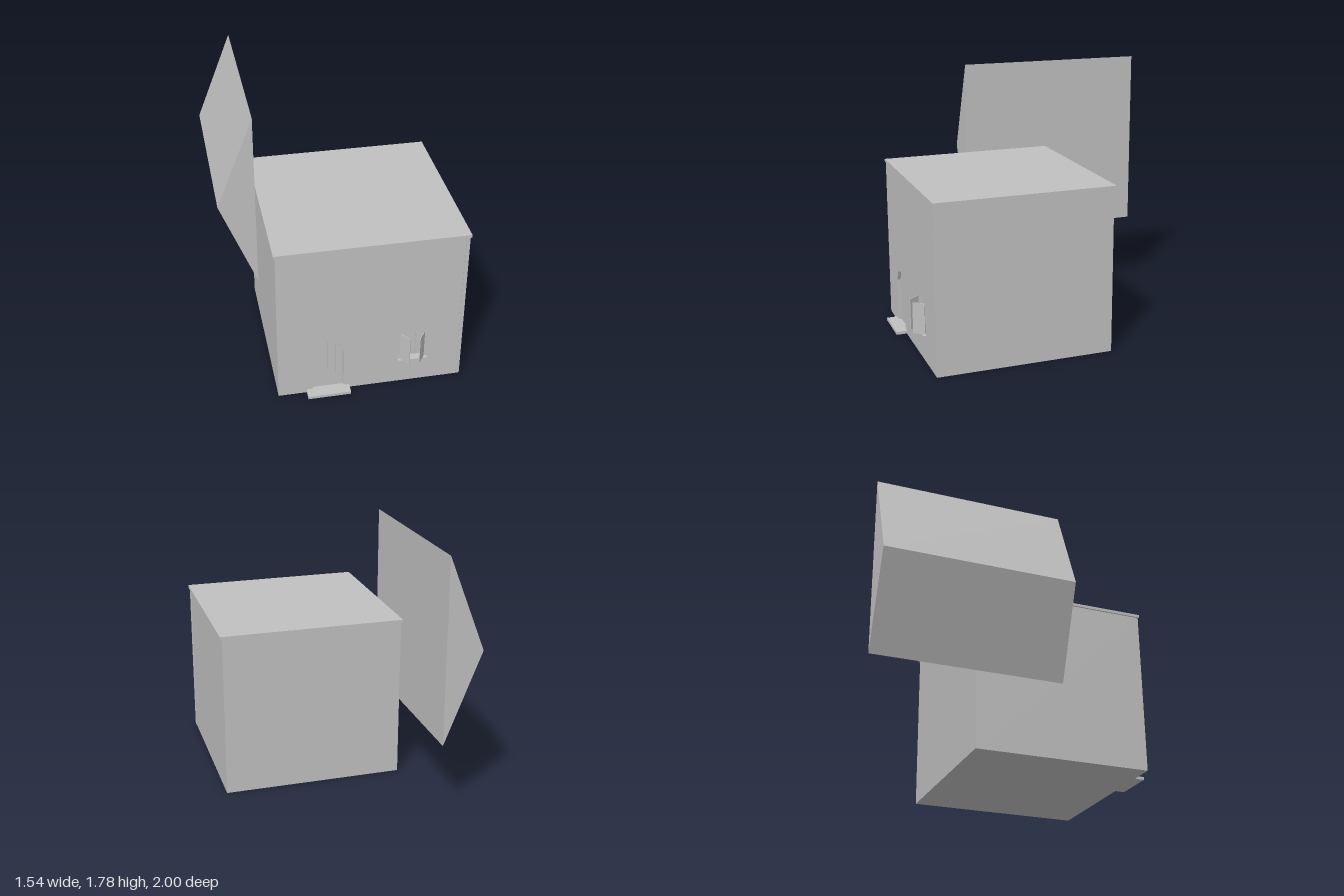
import * as THREE from 'three';

export function createModel() {
  const model = new THREE.Group();
  const grey = new THREE.MeshStandardMaterial({ color: 0xc0c0c0 });

  const add = (name, geometry) => {
    const mesh = new THREE.Mesh(geometry, grey);
    mesh.name = name;
    model.add(mesh);
    return mesh;
  };
  // box given by its lower and upper limits on each axis
  const box = (name, x0, x1, y0, y1, z0, z1) => {
    const mesh = add(name, new THREE.BoxGeometry(x1 - x0, y1 - y0, z1 - z0));
    mesh.position.set((x0 + x1) / 2, (y0 + y1) / 2, (z0 + z1) / 2);
    return mesh;
  };
  const points = (list) => list.map(([x, y]) => new THREE.Vector2(x, y));
  const extrude = (shape, depth, z) =>
    new THREE.ExtrudeGeometry(shape, { depth, bevelEnabled: false }).translate(0, 0, z);

  // house body, whose front face lies behind the pierced front wall
  box('houseBody', -0.49, 0.755, 0, 1.125, -0.28, 0.895);
  box('flatRoof', -0.5, 0.77, 1.125, 1.145, -0.29, 0.93);

  // front wall with arched doorway and window opening
  const wall = new THREE.Shape(points([[-0.49, 0], [0.755, 0], [0.755, 1.125], [-0.49, 1.125]]));
  const arch = points([
    [-0.255, 0.02], [-0.255, 0.32], [-0.222, 0.39], [-0.15, 0.416],
    [-0.083, 0.39], [-0.05, 0.32], [-0.05, 0.02],
  ]);
  wall.holes.push(new THREE.Path(arch));
  wall.holes.push(new THREE.Path(points([[0.335, 0.195], [0.335, 0.408], [0.5, 0.408], [0.5, 0.195]])));
  add('frontWall', extrude(wall, 0.03, 0.895));

  // door planks with narrow gaps, shaped to the arch
  const archTop = (x) => {
    for (let i = 1; i < 5; i++) {
      const a = arch[i], b = arch[i + 1];
      if (x <= b.x) return a.y + ((b.y - a.y) * (x - a.x)) / (b.x - a.x);
    }
    return 0.32;
  };
  const planks = 4, pitch = 0.205 / planks;
  for (let i = 0; i < planks; i++) {
    const x0 = -0.255 + i * pitch + 0.001, x1 = x0 + pitch - 0.002;
    const plank = new THREE.Shape(points([[x0, 0.02], [x1, 0.02], [x1, archTop(x1)], [x0, archTop(x0)]]));
    add('doorPlank', extrude(plank, 0.008, 0.895));
  }
  box('doorStep', -0.3, -0.01, 0.005, 0.025, 0.915, 1);

  // window sill, centre pane frame and half-open shutters
  box('windowSill', 0.32, 0.52, 0.185, 0.195, 0.895, 0.948);
  for (const x of [0.383, 0.449]) box('windowBar', x - 0.003, x + 0.003, 0.195, 0.408, 0.893, 0.901);
  for (const side of [-1, 1]) {
    const shutter = add('windowShutter', new THREE.BoxGeometry(0.083, 0.213, 0.005));
    shutter.position.set(0.4175 + side * 0.057, 0.3015, 0.961);
    shutter.rotation.y = side * 0.96;
  }

  // narrow corner strips at the front left edge of the house
  box('cornerPost', 0.738, 0.76, 0.005, 1.125, 0.903, 0.928);
  box('cornerStrip', 0.731, 0.736, 0.35, 1.02, 0.92, 0.928);

  // tall triangular prism standing apart beside the house
  const gable = new THREE.Shape(points([[-0.525, 0.515], [-0.525, 1.78], [-0.775, 1.145]]));
  add('gablePrism', extrude(gable, 1.315, -1));

  return model;
}
